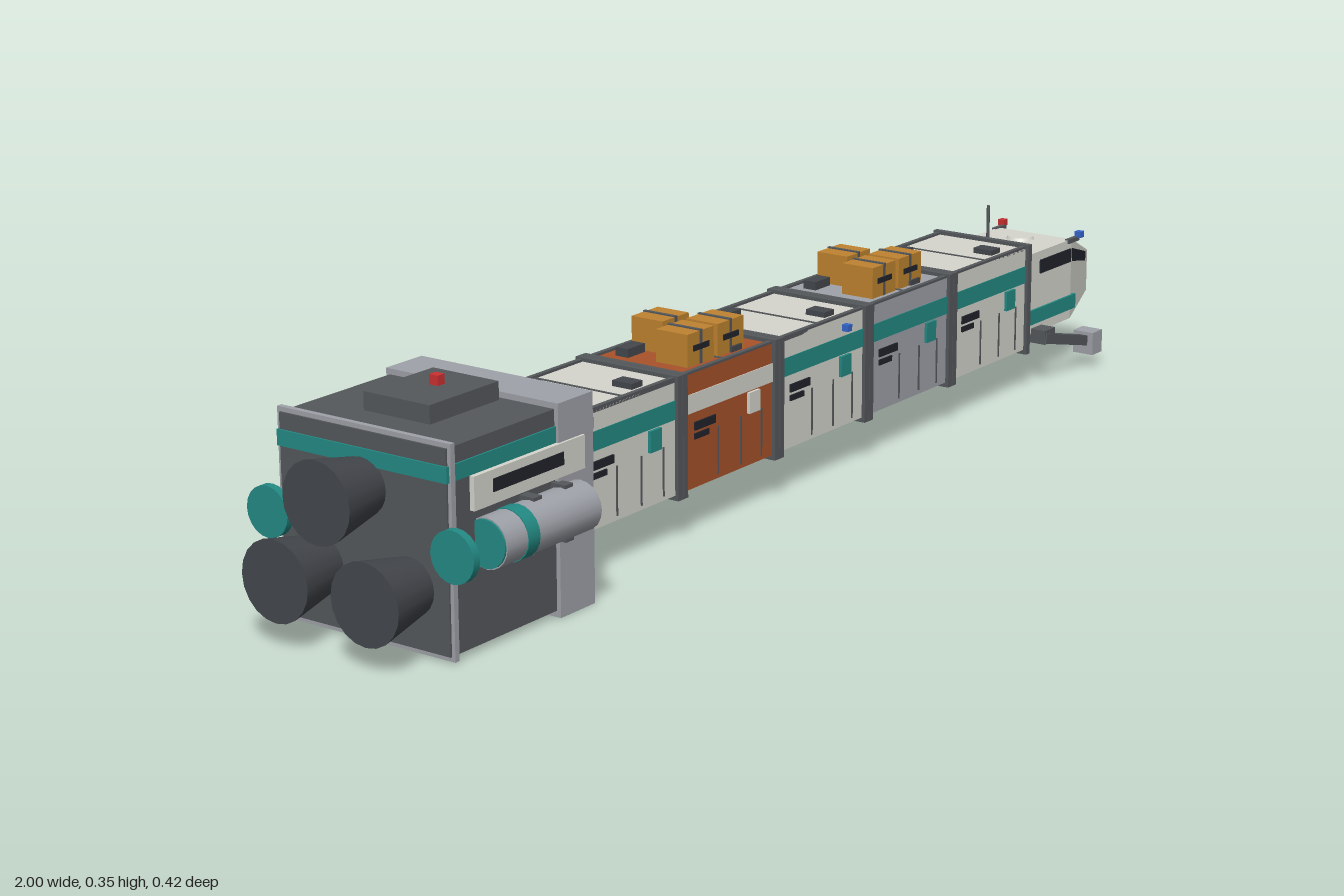
import * as THREE from 'three';

const mat = (name, color, extra = {}) => {
  const m = new THREE.MeshStandardMaterial({ color, ...extra });
  m.name = name;
  return m;
};

export function createModel() {
  const white = mat('hull white', 0xd6d6ce);
  const grey = mat('light grey', 0x9fa2a9);
  const dark = mat('dark grey', 0x55585c);
  const charcoal = mat('charcoal', 0x44474c);
  const teal = mat('teal', 0x238a84);
  const black = mat('window black', 0x20242c, { side: THREE.DoubleSide });
  const red = mat('red', 0xcc3030);
  const blue = mat('blue', 0x3465cc);
  const rust = mat('rust orange', 0xa8522a);
  const amber = mat('crate amber', 0xbf8330);

  const root = new THREE.Group();
  root.name = 'cargoShip';
  const group = (name, x = 0) => {
    const g = new THREE.Group();
    g.name = name;
    g.position.x = x;
    root.add(g);
    return g;
  };
  const add = (parent, name, geo, m) => {
    const mesh = new THREE.Mesh(geo, m);
    mesh.name = name;
    parent.add(mesh);
    return mesh;
  };
  // Box given by its limits on each axis
  const box = (parent, name, m, x0, x1, y0, y1, z0, z1) => {
    const mesh = add(parent, name, new THREE.BoxGeometry(x1 - x0, y1 - y0, z1 - z0), m);
    mesh.position.set((x0 + x1) / 2, (y0 + y1) / 2, (z0 + z1) / 2);
    return mesh;
  };
  // Thin plate on a side wall (s = +1 or -1)
  const plate = (parent, name, m, x0, x1, y0, y1, z, s, t = 0.004) =>
    box(parent, name, m, x0, x1, y0, y1, s * z - t / 2, s * z + t / 2);
  // Cylinder lying along x
  const tube = (parent, name, m, x0, x1, r0, r1, y, z, n = 20) => {
    const geo = new THREE.CylinderGeometry(r1, r0, x1 - x0, n).rotateZ(-Math.PI / 2);
    const mesh = add(parent, name, geo, m);
    mesh.position.set((x0 + x1) / 2, y, z);
    return mesh;
  };

  // Engine block
  const engine = group('engineBlock');
  box(engine, 'engineBody', dark, -0.905, -0.588, 0.01, 0.311, -0.153, 0.153);
  box(engine, 'engineStripe', teal, -0.908, -0.585, 0.262, 0.286, -0.156, 0.156);
  box(engine, 'frontCollar', grey, -0.67, -0.591, 0, 0.32, -0.16, 0.16);
  box(engine, 'rearRim', grey, -0.902, -0.893, 0.003, 0.318, -0.159, 0.159);
  box(engine, 'roofHatch', dark, -0.83, -0.68, 0.31, 0.339, -0.061, 0.061);
  box(engine, 'roofBeacon', red, -0.75, -0.735, 0.338, 0.354, -0.008, 0.008);
  [[0.23, 0], [0.1, 0.083], [0.1, -0.083]].forEach(([y, z]) => {
    tube(engine, 'nozzle', charcoal, -1, -0.9, 0.062, 0.042, y, z);
  });
  for (const s of [1, -1]) {
    plate(engine, 'sidePanel', white, -0.86, -0.615, 0.212, 0.262, 0.16, s, 0.008);
    plate(engine, 'sidePanelVent', black, -0.82, -0.665, 0.23, 0.249, 0.164, s);
    tube(engine, 'sideTank', grey, -0.845, -0.635, 0.038, 0.038, 0.163, s * 0.171);
    tube(engine, 'tankBand', teal, -0.8, -0.775, 0.0395, 0.0395, 0.163, s * 0.171);
    tube(engine, 'tankCap', teal, -0.848, -0.843, 0.036, 0.036, 0.163, s * 0.171);
    tube(engine, 'rearDisc', teal, -0.918, -0.905, 0.039, 0.039, 0.163, s * 0.171);
    for (const x of [-0.75, -0.68])
      box(engine, 'tankBracket', dark, x, x + 0.018, 0.12, 0.205, s * 0.166 - 0.013, s * 0.166 + 0.013);
  }

  // Coupling between engine and first container
  const coupling = group('coupling');
  box(coupling, 'couplingCore', dark, -0.6, -0.53, 0.145, 0.2, -0.028, 0.028);
  box(coupling, 'couplingRing', charcoal, -0.57, -0.558, 0.138, 0.207, -0.034, 0.034);

  // Cargo containers
  const container = (i, wall, trim, hasCrates, hasLights) => {
    const c = group('container' + (i + 1), -0.42 + i * 0.255);
    box(c, 'containerBody', wall, -0.12, 0.12, 0.075, 0.258, -0.092, 0.092);
    box(c, 'containerStripe', trim, -0.1225, 0.1225, 0.196, 0.226, -0.0935, 0.0935);
    for (const e of [-1, 1]) {
      const a = e * 0.121, w = 0.006;
      for (const s of [-1, 1]) {
        box(c, 'framePost', dark, a - w, a + w, 0.067, 0.264, s * 0.092 - 0.006, s * 0.092 + 0.006);
        box(c, 'frameBeam', dark, a - w, a + w, s > 0 ? 0.254 : 0.067, s > 0 ? 0.264 : 0.079, -0.097, 0.097);
      }
      box(c, 'endPlate', dark, a - 0.004, a + 0.004, 0.075, 0.256, -0.077, 0.077);
    }
    for (const s of [-1, 1]) {
      box(c, 'roofRail', dark, -0.115, 0.115, 0.254, 0.262, s * 0.088 - 0.004, s * 0.088 + 0.004);
      plate(c, 'mainLabel', black, -0.092, -0.038, 0.167, 0.18, 0.093, s);
      plate(c, 'smallLabel', black, -0.092, -0.055, 0.153, 0.162, 0.093, s);
      plate(c, 'sideMarker', trim, 0.048, 0.076, 0.16, 0.194, 0.094, s, 0.006);
      for (const x of [-0.03, 0.03, 0.085])
        plate(c, 'doorSeam', dark, x - 0.0015, x + 0.0015, 0.082, 0.16, 0.0925, s, 0.002);
    }
    box(c, 'roofSeam', dark, -0.002, 0.002, 0.257, 0.2595, -0.085, 0.085);
    box(c, 'roofHatch', charcoal, -0.083, -0.04, 0.257, 0.272, -0.064, -0.04);
    box(c, 'roofVent', charcoal, 0.035, 0.062, 0.257, 0.267, 0.035, 0.072);
    // Stacked crates with straps and dark labels
    if (hasCrates) for (const [x, z] of [[0, -0.04], [-0.041, 0.038], [0.037, 0.038]]) {
      box(c, 'crate', amber, x - 0.034, x + 0.034, 0.258, 0.31, z - 0.03, z + 0.03);
      box(c, 'crateStrap', dark, x - 0.003, x + 0.003, 0.258, 0.312, z - 0.031, z + 0.031);
      for (const s of [-1, 1])
        box(c, 'crateLabel', black, x - 0.02, x + 0.02, 0.281, 0.29, z + s * 0.031 - 0.001, z + s * 0.031 + 0.001);
    }
    if (hasLights) for (const s of [1, -1])
      box(c, 'sideLight', s > 0 ? blue : red, 0.052, 0.064, 0.236, 0.247, s * 0.1 - 0.006, s * 0.1 + 0.006);
  };
  container(0, white, teal, false, false);
  container(1, rust, white, true, false);
  container(2, white, teal, false, true);
  container(3, grey, teal, true, false);
  container(4, white, teal, false, false);
  for (let i = 0; i < 4; i++)
    box(root, 'containerLink', charcoal, -0.3 + i * 0.255, -0.285 + i * 0.255, 0.085, 0.245, -0.08, 0.08);

  // Cockpit with tapered nose
  const cockpit = group('cockpit');
  box(cockpit, 'cabin', white, 0.715, 0.9, 0.09, 0.236, -0.077, 0.077);
  const taper = new THREE.BoxGeometry(0.1, 0.146, 0.154).translate(0.95, 0.163, 0);
  const p = taper.attributes.position;
  for (let i = 0; i < p.count; i++) {
    if (p.getX(i) < 0.95) continue;
    p.setY(i, p.getY(i) > 0.16 ? 0.193 : 0.118);
    p.setZ(i, Math.sign(p.getZ(i)) * 0.052);
  }
  taper.computeVertexNormals();
  add(cockpit, 'nose', taper, white);
  for (const s of [1, -1]) {
    plate(cockpit, 'cabinStripe', teal, 0.725, 0.912, 0.108, 0.134, 0.078, s, 0.006);
    plate(cockpit, 'sideWindow', black, 0.79, 0.895, 0.196, 0.22, 0.078, s);
    // Slanted window that follows the nose
    const z = x => s * (0.0785 - 0.25 * (x - 0.9));
    const quad = new THREE.BufferGeometry();
    quad.setAttribute('position', new THREE.Float32BufferAttribute([
      0.9, 0.196, z(0.9), 0.985, 0.177, z(0.985), 0.985, 0.194, z(0.985), 0.9, 0.22, z(0.9)], 3));
    quad.setIndex(s > 0 ? [0, 1, 2, 0, 2, 3] : [0, 2, 1, 0, 3, 2]);
    quad.computeVertexNormals();
    add(cockpit, 'noseWindow', quad, black);
    box(cockpit, 'navigationLight', s > 0 ? blue : red, 0.915, 0.928, 0.236, 0.247, s * 0.08 - 0.006, s * 0.08 + 0.006);
    box(cockpit, 'lightStalk', dark, 0.885, 0.922, 0.23, 0.238, s * 0.076 - 0.004, s * 0.076 + 0.004);

    // Docking arm and pad
    box(cockpit, 'armMount', dark, 0.765, 0.8, 0.075, 0.1, s * 0.09 - 0.016, s * 0.09 + 0.016);
    const arm = box(cockpit, 'dockingArm', dark, 0.765, 0.925, 0.058, 0.076, s * 0.099 - 0.009, s * 0.099 + 0.009);
    arm.rotation.z = -0.24;
    box(cockpit, 'dockingPad', grey, 0.912, 0.945, 0.025, 0.066, s * 0.099 - 0.02, s * 0.099 + 0.02);
    box(cockpit, 'padFace', teal, 0.944, 0.948, 0.031, 0.06, s * 0.099 - 0.015, s * 0.099 + 0.015);
  }
  box(cockpit, 'cabinHatch', dark, 0.745, 0.78, 0.235, 0.245, 0.015, 0.045);
  const dome = add(cockpit, 'roofDome', new THREE.CylinderGeometry(0.022, 0.026, 0.007, 20), white);
  dome.position.set(0.85, 0.238, 0);
  const antenna = add(cockpit, 'antenna', new THREE.CylinderGeometry(0.003, 0.003, 0.07, 8), dark);
  antenna.position.set(0.8, 0.266, -0.037);

  return root;
}
